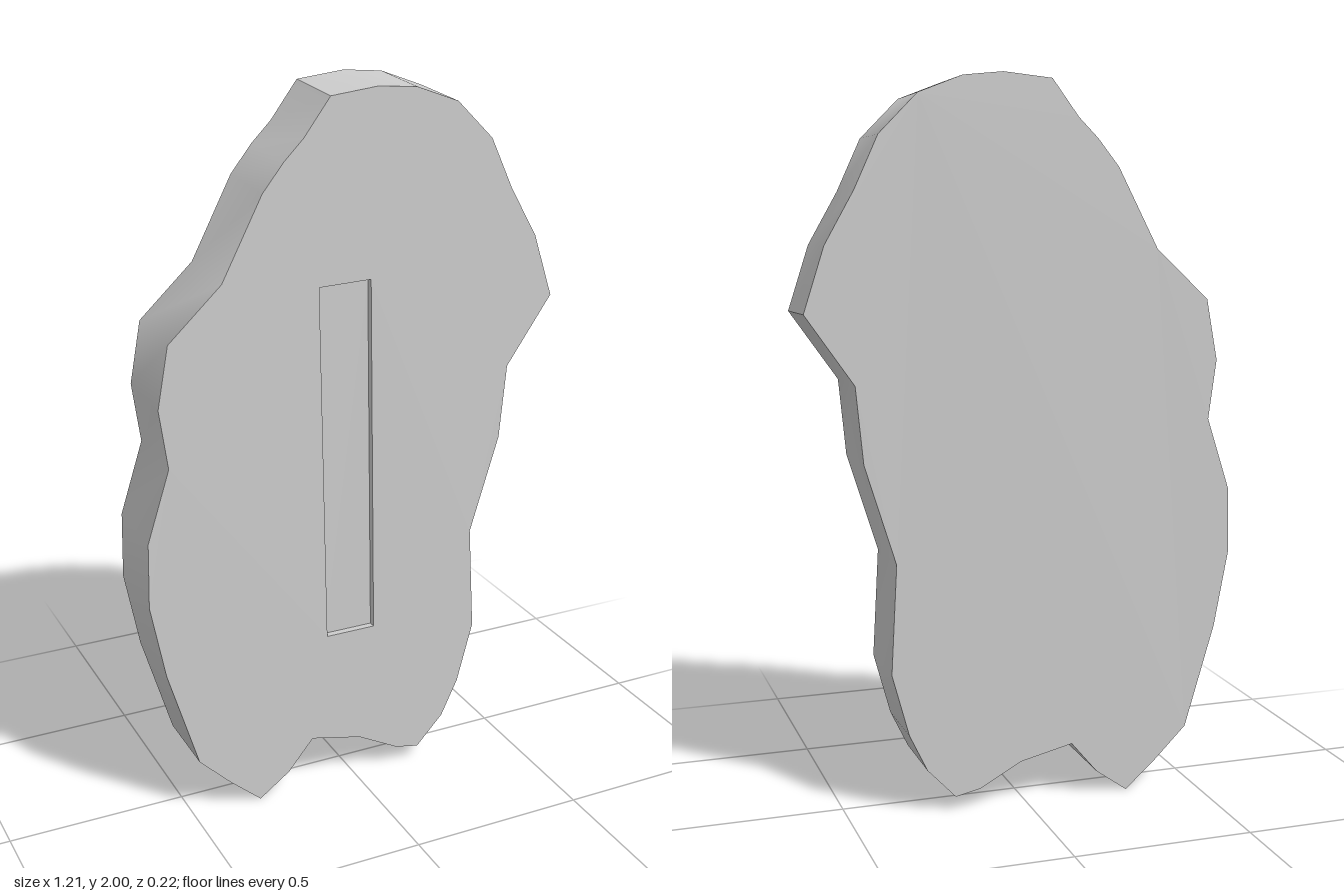
import * as THREE from 'three';
import { mergeGeometries, toCreasedNormals } from 'three/addons/utils/BufferGeometryUtils.js';

// Outline of the slab, clockwise from the lowest tip
const OUTLINE = [
  [-0.3, 0], [-0.39, 0.08], [-0.48, 0.17], [-0.565, 0.46], [-0.605, 0.675], [-0.6, 0.86],
  [-0.535, 1.06], [-0.557, 1.225], [-0.525, 1.395], [-0.375, 1.535], [-0.26, 1.755],
  [-0.2, 1.83], [-0.145, 1.885], [-0.07, 1.985], [0.065, 2], [0.175, 1.99], [0.295, 1.945],
  [0.4, 1.84], [0.465, 1.7], [0.545, 1.56], [0.602, 1.385], [0.47, 1.195], [0.45, 0.985],
  [0.365, 0.71], [0.382, 0.405], [0.335, 0.23], [0.285, 0.125], [0.205, 0.04],
  [0.135, 0.055], [0.015, 0.12], [-0.135, 0.155], [-0.21, 0.065],
];
// Slot, counter-clockwise so its walls face inwards
const SLOT = [[-0.087, 0.473], [0.058, 0.473], [0.045, 1.497], [-0.105, 1.493]];

// The three layers: the front leans back slightly, the slot floor follows it
const back = (x, y) => [x, y, -0.108];
const front = (x, y) => [x, y * 0.994, 0.107 - 0.005 * y];
const slotFloor = (x, y) => [x, y * 0.994, 0.087 - 0.005 * y];

function fromPositions(positions) {
  const g = new THREE.BufferGeometry();
  g.setAttribute('position', new THREE.Float32BufferAttribute(positions, 3));
  return g;
}

// Flat cap of a shape, laid on one of the layers
function cap(shape, layer, flip = false) {
  const g = new THREE.ShapeGeometry(shape).toNonIndexed();
  const p = g.getAttribute('position');
  const out = [];
  for (let i = 0; i < p.count; i += 3) {
    for (const k of flip ? [0, 2, 1] : [0, 1, 2]) out.push(...layer(p.getX(i + k), p.getY(i + k)));
  }
  return fromPositions(out);
}

// Wall along a closed loop between two layers
function wall(loop, rear, fore) {
  const out = [];
  loop.forEach((p, i) => {
    const q = loop[(i + 1) % loop.length];
    const [a, b, c, d] = [rear(...p), fore(...p), fore(...q), rear(...q)];
    out.push(...a, ...b, ...c, ...a, ...c, ...d);
  });
  return fromPositions(out);
}

const toShape = (loop) => new THREE.Shape(loop.map(([x, y]) => new THREE.Vector2(x, y)));

export function createModel() {
  const group = new THREE.Group();
  const material = new THREE.MeshStandardMaterial({ color: 0xcccccc });

  const face = toShape(OUTLINE);
  const pierced = toShape(OUTLINE);
  pierced.holes.push(toShape(SLOT));

  const add = (name, parts) => {
    const mesh = new THREE.Mesh(toCreasedNormals(mergeGeometries(parts), 0.73), material);
    mesh.name = name;
    group.add(mesh);
  };

  // Slab: front with the slot opening, plain back, and the rim
  add('slab', [cap(pierced, front), cap(face, back, true), wall(OUTLINE, back, front)]);
  // Shallow recess in the front
  add('slot', [cap(toShape(SLOT), slotFloor), wall(SLOT, slotFloor, front)]);

  return group;
}
